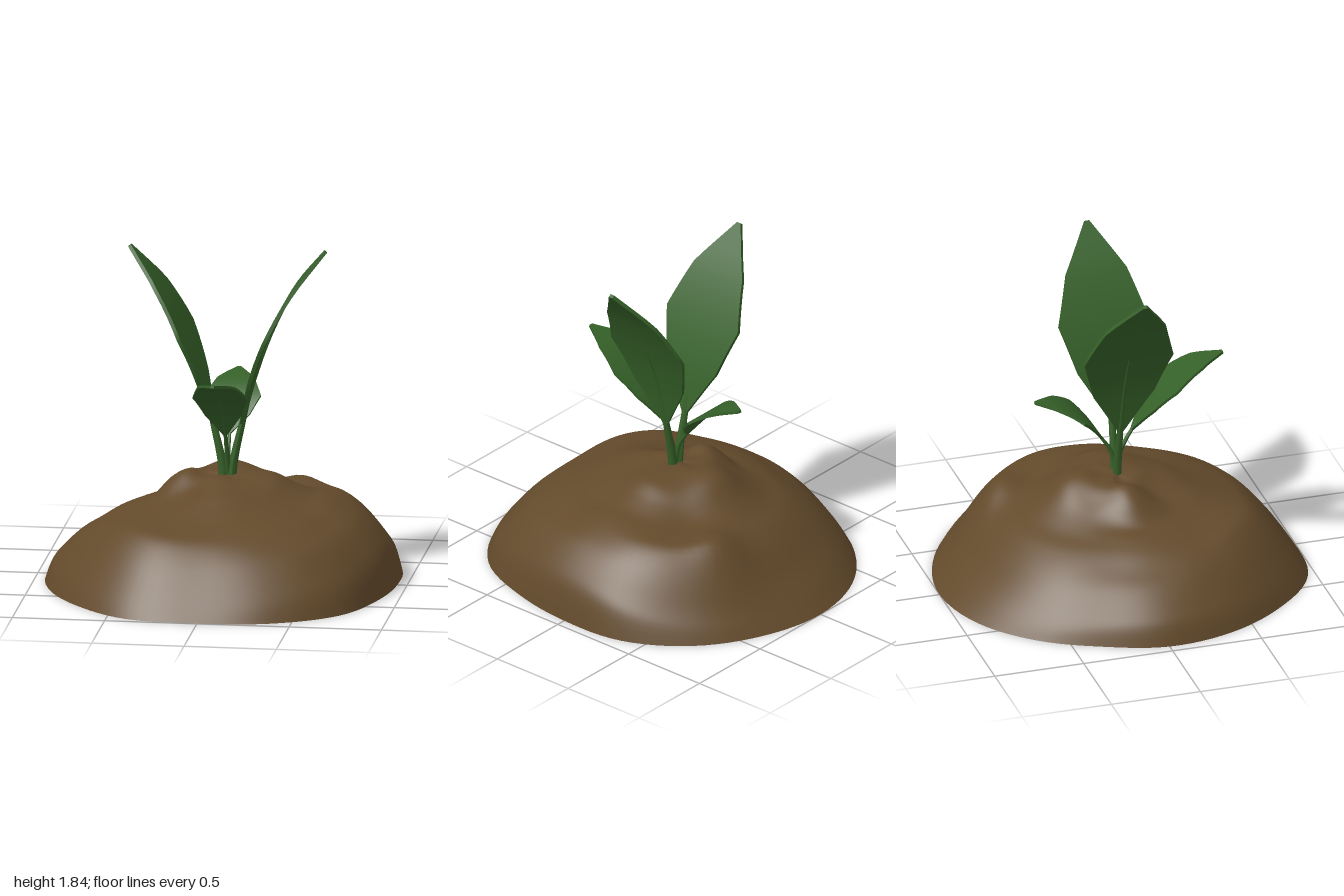
import * as THREE from 'three';
import { toCreasedNormals } from 'three/addons/utils/BufferGeometryUtils.js';

const soil = new THREE.MeshStandardMaterial({ color: 0x634a2b, side: THREE.DoubleSide });
const green = new THREE.MeshStandardMaterial({ color: 0x356028, side: THREE.DoubleSide });

// Catmull-Rom sample of a list at a fractional index, optionally wrapping round
function sample(list, t, wrap) {
  const n = list.length, i = Math.floor(t), u = t - i;
  const at = k => list[wrap ? (k + n) % n : Math.min(n - 1, Math.max(0, k))];
  const [a, b, c, d] = [at(i - 1), at(i), at(i + 1), at(i + 2)];
  return b + 0.5 * u * (c - a + u * (2 * a - 5 * b + 4 * c - d + u * (3 * (b - c) + d - a)));
}

// Mound outline radius at 16 bearings, from +x round through +z
const outline = [.947, .96, 1.025, 1.02, .997, 1.025, .98, .96, .947, .91, .94, .98, 1, .995, 1, .99];
// Height from centre to rim at the fractions below, for 8 bearings
const fractions = [0, .1, .2, .3, .4, .5, .6, .7, .8, .9, .96, 1];
const heights = [
  [.58, .59, .59, .58, .53, .49, .47, .43, .37, .27, .17, 0],
  [.58, .58, .56, .525, .48, .45, .42, .37, .31, .2, .11, 0],
  [.58, .59, .565, .535, .49, .445, .405, .36, .27, .145, .06, 0],
  [.58, .58, .53, .485, .455, .43, .415, .39, .3, .17, .08, 0],
  [.58, .57, .6, .55, .45, .42, .38, .32, .26, .17, .1, 0],
  [.58, .59, .58, .52, .46, .41, .37, .31, .23, .13, .06, 0],
  [.58, .59, .61, .58, .49, .42, .37, .29, .19, .1, .04, 0],
  [.58, .6, .59, .56, .5, .455, .435, .41, .31, .16, .08, 0],
];
// Local lumps (positive) and hollows (negative): x, z, height
const lumps = [[-.55, .35, -.015], [.48, .2, -.015], [.3, -.35, -.02], [.34, -.58, .055]];

function moundGeometry() {
  const rings = 44, segs = 96, pos = [], idx = [];
  for (let i = 0; i <= rings; i++) {
    const s = i / rings * (fractions.length - 1);
    const f = sample(fractions, s);
    const ring = heights.map(h => sample(h, s));
    for (let j = 0; j < segs; j++) {
      const a = j / segs * Math.PI * 2;
      const r = f * sample(outline, j / segs * 16, true);
      const x = r * Math.cos(a), z = r * Math.sin(a);
      let y = sample(ring, j / segs * 8, true);
      for (const [lx, lz, h] of lumps) y += h * Math.exp(-((x - lx) ** 2 + (z - lz) ** 2) / 0.02);
      pos.push(x, i === rings ? 0 : Math.max(0, y), z);
      if (i < rings) {
        const p = i * segs + j, q = i * segs + (j + 1) % segs;
        if (i > 0) idx.push(p, q, p + segs);
        idx.push(q, q + segs, p + segs);
      }
    }
  }
  const g = new THREE.BufferGeometry();
  g.setAttribute('position', new THREE.Float32BufferAttribute(pos, 3));
  g.setIndex(idx);
  g.computeVertexNormals();
  return g;
}

const curveOf = pts => new THREE.CatmullRomCurve3(pts.map(([x, y]) => new THREE.Vector3(x, y, 0)));

// Thin curved blade; each station is [outward, height, half width]
function bladeGeometry(stations, thickness) {
  const curve = curveOf(stations), steps = 4, rows = (stations.length - 1) * steps;
  const pos = [], idx = [];
  for (let i = 0; i <= rows; i++) {
    const p = curve.getPoint(i / rows), t = curve.getTangent(i / rows);
    const k = Math.min(stations.length - 2, Math.floor(i / steps));
    const w = THREE.MathUtils.lerp(stations[k][2], stations[k + 1][2], i / steps - k);
    for (const [n, side] of [[1, 1], [1, -1], [-1, -1], [-1, 1]]) {
      const o = n * thickness / 2;
      pos.push(p.x - t.y * o, p.y + t.x * o, side * w);
    }
    if (i < rows) for (let c = 0; c < 4; c++) {
      const a = i * 4 + c, b = i * 4 + (c + 1) % 4;
      idx.push(a, a + 4, b, b, a + 4, b + 4);
    }
  }
  const end = rows * 4;
  idx.push(0, 1, 2, 0, 2, 3, end, end + 2, end + 1, end, end + 3, end + 2);
  const g = new THREE.BufferGeometry();
  g.setAttribute('position', new THREE.Float32BufferAttribute(pos, 3));
  g.setIndex(idx);
  return toCreasedNormals(g, 0.6);
}

// Stalk that tapers away into the midrib of its blade
function stalkGeometry(points, radius) {
  const curve = curveOf(points), n = 20, sides = 8;
  const g = new THREE.TubeGeometry(curve, n, radius, sides);
  const p = g.attributes.position, v = new THREE.Vector3();
  for (let i = 0; i < p.count; i++) {
    const u = Math.floor(i / (sides + 1)) / n, c = curve.getPointAt(u);
    v.fromBufferAttribute(p, i).lerp(c, 0.92 * u ** 1.2);
    p.setXYZ(i, v.x, v.y, v.z);
  }
  g.computeVertexNormals();
  return g;
}

function leaf(name, root, stations, angle, radius, thickness) {
  const g = new THREE.Group();
  g.name = name;
  const blade = new THREE.Mesh(bladeGeometry(stations, thickness), green);
  blade.name = name + 'Blade';
  // the midrib shows on the underside and fades out at the widest point
  const rib = stations.slice(0, 3).map(([x, y], i) => [x + i * thickness * 0.25, y - i * thickness * 0.12]);
  const stalk = new THREE.Mesh(stalkGeometry([...root, ...rib], radius), green);
  stalk.name = name + 'Stalk';
  g.add(blade, stalk);
  g.rotation.y = angle;
  return g;
}

export function createModel() {
  const model = new THREE.Group();
  model.name = 'seedling';
  const mound = new THREE.Mesh(moundGeometry(), soil);
  mound.name = 'soilMound';

  const plant = new THREE.Group();
  plant.name = 'plant';
  plant.position.x = 0.028;
  const tallRoot = [[.017, .48], [.032, .65]];
  const tall = [[.075, .85, .008], [.138, 1.12, .17], [.23, 1.37, .25], [.36, 1.61, .17], [.53, 1.83, .012]];
  const lowRoot = [[0, .22], [0, .58], [.03, .71]];
  const front = [[.09, .82, .008], [.18, .955, .1], [.3, 1.075, .148], [.45, 1.17, .1], [.6, 1.21, .01]];
  const back = [[.08, .79, .008], [.14, .88, .1], [.22, .965, .15], [.33, 1.03, .1], [.455, 1.06, .01]];
  plant.add(
    leaf('leftTallLeaf', tallRoot, tall, 0, .026, .02),
    leaf('rightTallLeaf', tallRoot, tall, Math.PI, .026, .02),
    leaf('frontLeaf', lowRoot, front, -Math.PI / 2, .022, .014),
    leaf('backLeaf', lowRoot, back, Math.PI / 2, .022, .014),
  );
  model.add(mound, plant);
  return model;
}
